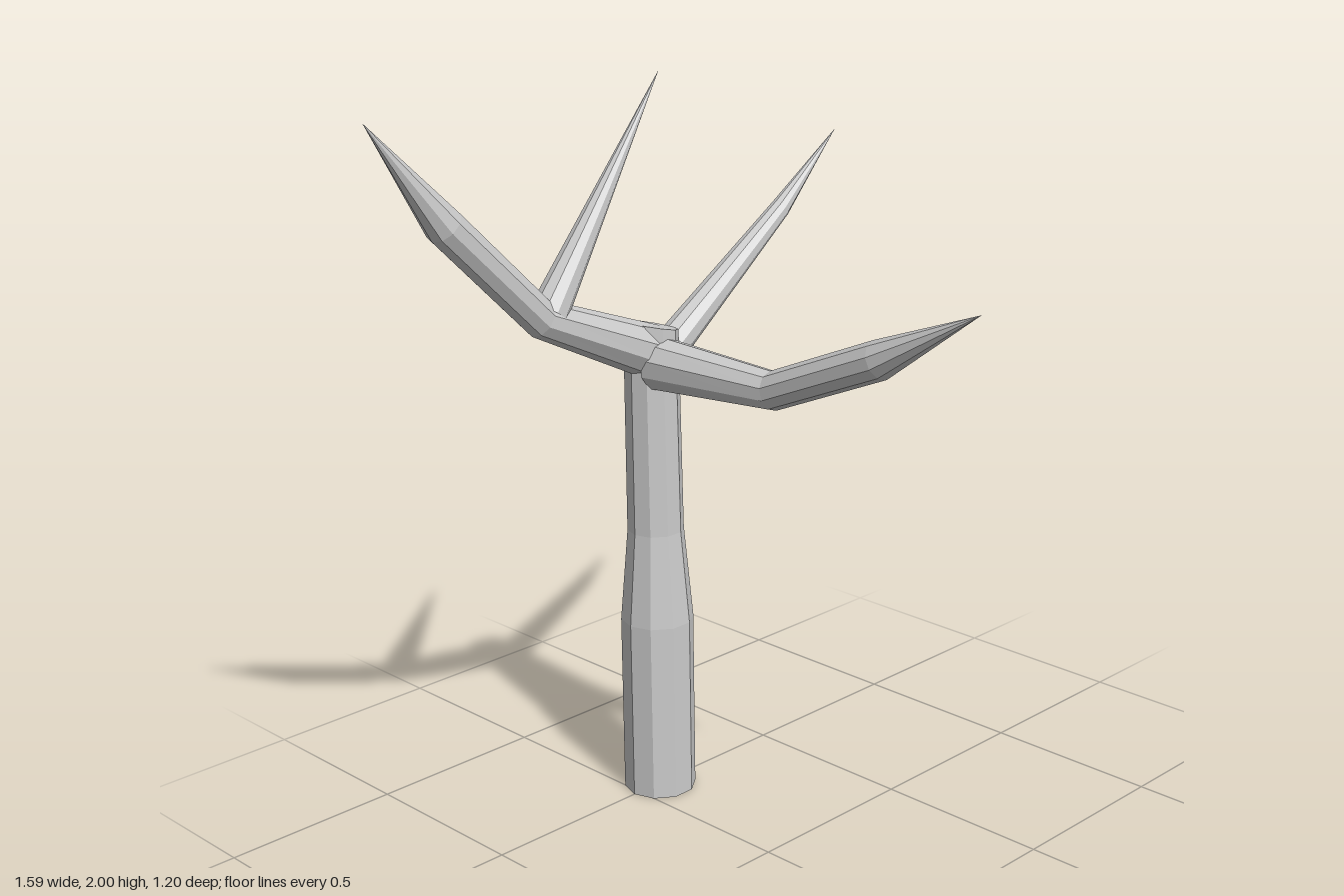
import * as THREE from 'three';

const SIDES = 10;
const material = new THREE.MeshStandardMaterial({ color: 0xcccccc, flatShading: true, side: THREE.DoubleSide });

// Sweeps a ring along a bent line lying in one plane, mitred at each bend.
// stations: [x, y, z, radius]; across: unit vector perpendicular to the plane of the limb
function limb(name, stations, across, capEnd = false) {
  const points = stations.map(([x, y, z]) => new THREE.Vector3(x, y, z));
  const dirs = points.slice(1).map((p, i) => p.clone().sub(points[i]).normalize());
  const positions = [];
  const index = [];

  points.forEach((p, i) => {
    const before = dirs[Math.max(i - 1, 0)];
    const after = dirs[Math.min(i, dirs.length - 1)];
    const tangent = before.clone().add(after).normalize();
    const side = new THREE.Vector3().crossVectors(tangent, across);
    const r = stations[i][3];
    const stretch = r / tangent.dot(before);
    for (let k = 0; k < SIDES; k++) {
      const a = (k / SIDES) * Math.PI * 2;
      const v = p.clone()
        .addScaledVector(side, Math.cos(a) * stretch)
        .addScaledVector(across, -Math.sin(a) * r);
      positions.push(v.x, v.y, v.z);
    }
  });

  for (let i = 0; i < points.length - 1; i++) {
    for (let k = 0; k < SIDES; k++) {
      const a = i * SIDES + k;
      const b = i * SIDES + ((k + 1) % SIDES);
      index.push(a, b, b + SIDES);
      // a pointed tip needs only one triangle per side
      if (stations[i + 1][3] > 0) index.push(a, b + SIDES, a + SIDES);
    }
  }
  if (capEnd) {
    const last = (points.length - 1) * SIDES;
    for (let k = 1; k < SIDES - 1; k++) index.push(last, last + k, last + k + 1);
  }

  const geometry = new THREE.BufferGeometry();
  geometry.setAttribute('position', new THREE.Float32BufferAttribute(positions, 3));
  geometry.setIndex(index);
  geometry.computeVertexNormals();
  const mesh = new THREE.Mesh(geometry, material);
  mesh.name = name;
  return mesh;
}

export function createModel() {
  const group = new THREE.Group();
  group.name = 'bareTree';
  const alongZ = new THREE.Vector3(0, 0, 1);
  const alongX = new THREE.Vector3(1, 0, 0);

  // Trunk: open at the foot, stepped in halfway, slanted cut on top
  const trunk = limb('trunk', [
    [0.08, 0, -0.5, 0.1],
    [0.08, 0.51, -0.5, 0.1],
    [0.08, 0.77, -0.5, 0.077],
    [0.076, 1.34, -0.5, 0.073],
  ], alongZ, true);
  const pos = trunk.geometry.attributes.position;
  for (let i = 3 * SIDES; i < pos.count; i++) {
    pos.setY(i, 1.34 - (pos.getX(i) - 0.076) * 0.25);
  }
  trunk.geometry.computeVertexNormals();
  group.add(trunk);

  // Large bent branch on the right side
  group.add(limb('rightBranch', [
    [0.08, 1.265, -0.5, 0.073],
    [-0.3, 1.43, -0.5, 0.05],
    [-0.585, 1.71, -0.5, 0.05],
    [-0.8, 1.98, -0.5, 0],
  ], alongZ));

  // Spike growing from the bend of the right branch
  group.add(limb('rightTwig', [
    [-0.27, 1.44, -0.5, 0.05],
    [0.12, 2, -0.5, 0],
  ], alongZ));

  // Slim branch on the left side
  group.add(limb('leftBranch', [
    [0.1, 1.235, -0.5, 0.051],
    [0.57, 1.575, -0.5, 0.027],
    [0.79, 1.765, -0.5, 0],
  ], alongZ));

  // Bent branch reaching forward
  group.add(limb('frontBranch', [
    [0.07, 1.243, -0.46, 0.073],
    [0.07, 1.255, -0.05, 0.05],
    [0.07, 1.405, 0.3, 0.05],
    [0.07, 1.57, 0.6, 0],
  ], alongX));

  return group;
}
